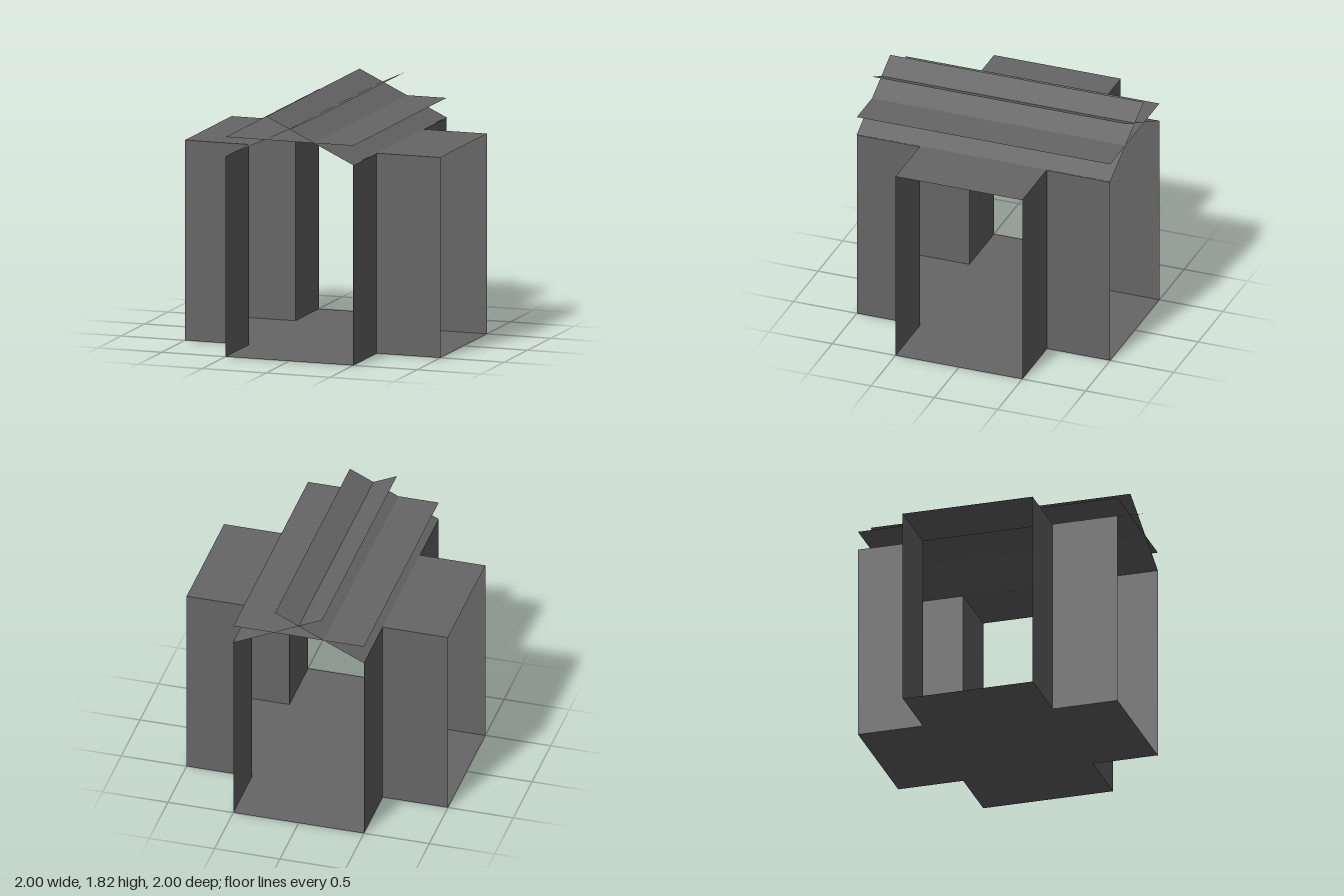
import * as THREE from 'three';

const ARM = 1, CORE = 0.5, WALL_H = 1.5, DEPTH = 2;

export function createModel() {
  const model = new THREE.Group();
  model.name = 'pavilion';

  const grey = new THREE.MeshStandardMaterial({ color: 0x666666, side: THREE.DoubleSide });
  grey.name = 'grey';

  const add = (name, geometry) => {
    const mesh = new THREE.Mesh(geometry, grey);
    mesh.name = name;
    model.add(mesh);
    return mesh;
  };

  // Flat sheet running along z between two points of the x-y section
  const sheet = (name, [x0, y0], [x1, y1], depth) => {
    const geometry = new THREE.PlaneGeometry(Math.hypot(x1 - x0, y1 - y0), depth);
    geometry.rotateX(-Math.PI / 2);
    geometry.rotateZ(Math.atan2(y1 - y0, x1 - x0));
    geometry.translate((x0 + x1) / 2, (y0 + y1) / 2, 0);
    return add(name, geometry);
  };

  // Cross-shaped floor
  const cross = new THREE.Shape([
    [CORE, ARM], [CORE, CORE], [ARM, CORE], [ARM, -CORE], [CORE, -CORE], [CORE, -ARM],
    [-CORE, -ARM], [-CORE, -CORE], [-ARM, -CORE], [-ARM, CORE], [-CORE, CORE], [-CORE, ARM],
  ].map(([x, y]) => new THREE.Vector2(x, y)));
  add('floor', new THREE.ShapeGeometry(cross).rotateX(-Math.PI / 2));

  // Two walls meeting in each inner corner; the ends of the arms stay open
  const mid = (ARM + CORE) / 2;
  for (const sx of [1, -1]) {
    for (const sz of [1, -1]) {
      const sideWall = add('sideArmWall', new THREE.PlaneGeometry(ARM - CORE, WALL_H));
      sideWall.position.set(sx * mid, WALL_H / 2, sz * CORE);
      const endWall = add('endArmWall', new THREE.PlaneGeometry(ARM - CORE, WALL_H));
      endWall.rotation.y = Math.PI / 2;
      endWall.position.set(sx * CORE, WALL_H / 2, sz * mid);
    }
  }

  // Flat roofs over the two side arms
  sheet('leftArmRoof', [CORE, WALL_H], [ARM, WALL_H], 2 * CORE);
  sheet('rightArmRoof', [-ARM, WALL_H], [-CORE, WALL_H], 2 * CORE);

  // Two sloping panels crossing at the ridge, with a level plate through them
  sheet('leftRoofPanel', [-0.18, 1.82], [0.505, 1.497], DEPTH);
  sheet('rightRoofPanel', [-0.5, 1.5], [0.18, 1.82], DEPTH);
  sheet('levelRoofPlate', [-0.5, 1.645], [0.5, 1.645], DEPTH);

  return model;
}
